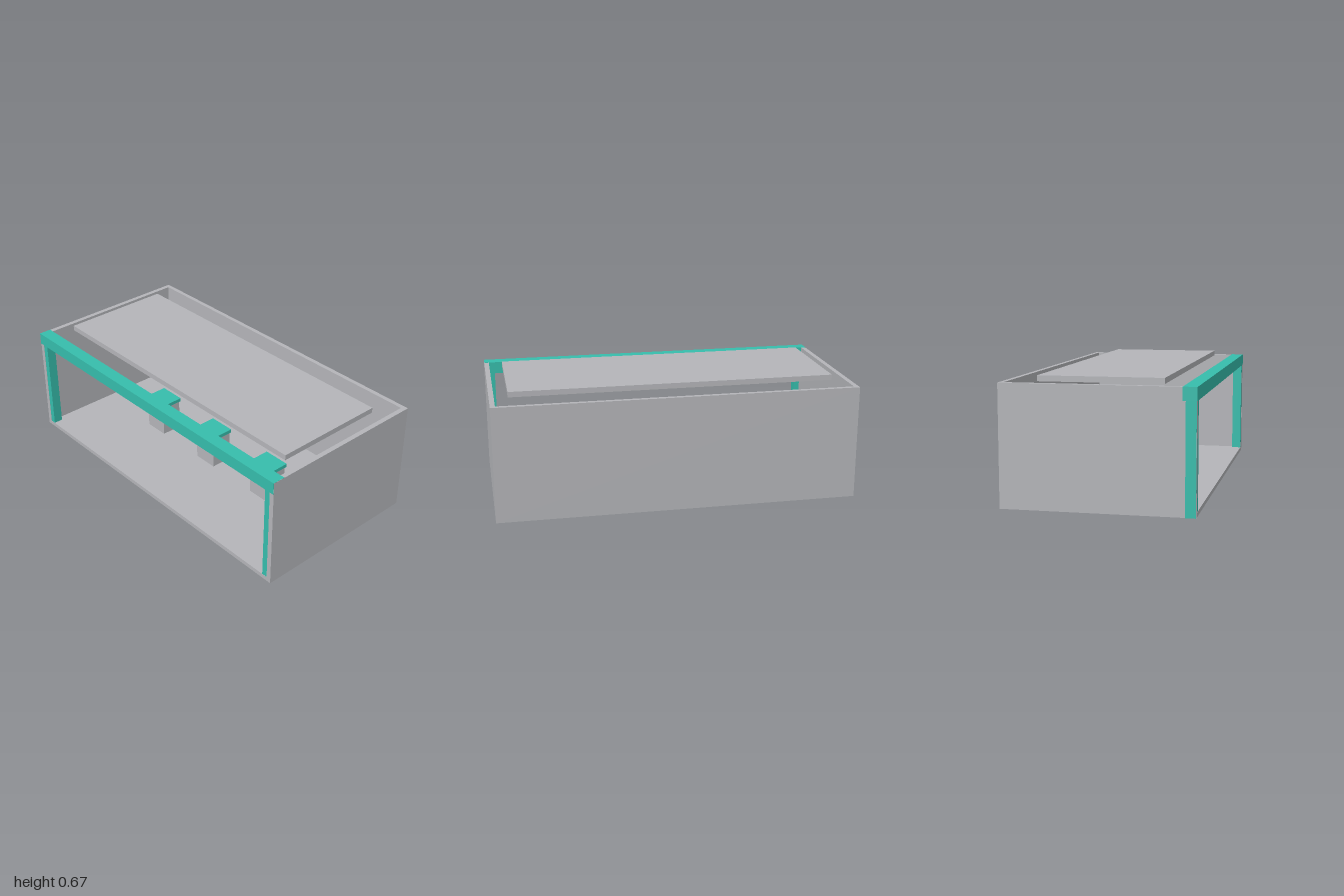
import * as THREE from 'three';

export function createModel() {
  const model = new THREE.Group();
  model.name = 'openKiosk';

  const grey = new THREE.MeshStandardMaterial({ color: 0xb4b5b9 });
  grey.name = 'grey';
  const teal = new THREE.MeshStandardMaterial({ color: 0x36bdac });
  teal.name = 'teal';

  // Box given by its minimum and maximum corners
  function box(name, material, [x0, y0, z0], [x1, y1, z1], parent = model) {
    const geometry = new THREE.BoxGeometry(x1 - x0, y1 - y0, z1 - z0);
    const mesh = new THREE.Mesh(geometry, material);
    mesh.position.set((x0 + x1) / 2, (y0 + y1) / 2, (z0 + z1) / 2);
    mesh.name = name;
    parent.add(mesh);
    return mesh;
  }

  // Shell: floor, back and side walls, open at the front
  const base = 0.001, top = 0.64;
  box('floor', grey, [-0.98, base, -0.48], [0.98, 0.025, 0.5]);
  box('backWall', grey, [-1, base, -0.5], [1, top, -0.475]);
  box('leftWall', grey, [0.973, base, -0.475], [1, top, 0.5]);
  box('rightWall', grey, [-1, base, -0.475], [-0.973, top, 0.5]);

  // Raised roof panel
  box('roofPanel', grey, [-0.9, top, -0.325], [0.9, 0.67, 0.325]);

  // Front frame, set slightly proud of the shell
  box('frontBeam', teal, [-1.001, 0.573, 0.43], [0.999, 0.641, 0.502]);
  box('leftColumn', teal, [0.94, 0, 0.445], [0.999, 0.573, 0.499]);
  box('rightColumn', teal, [-1.001, 0, 0.445], [-0.94, 0.573, 0.499]);

  // Row of display pedestals
  for (const x of [-0.46, 0, 0.46]) {
    const pedestal = new THREE.Group();
    pedestal.name = 'pedestal';
    pedestal.position.x = x;
    box('pedestalPost', grey, [-0.073, 0.02, -0.063], [0.073, 0.212, 0.063], pedestal);
    box('pedestalCap', teal, [-0.08, 0.212, -0.07], [0.08, 0.233, 0.07], pedestal);
    model.add(pedestal);
  }

  return model;
}
